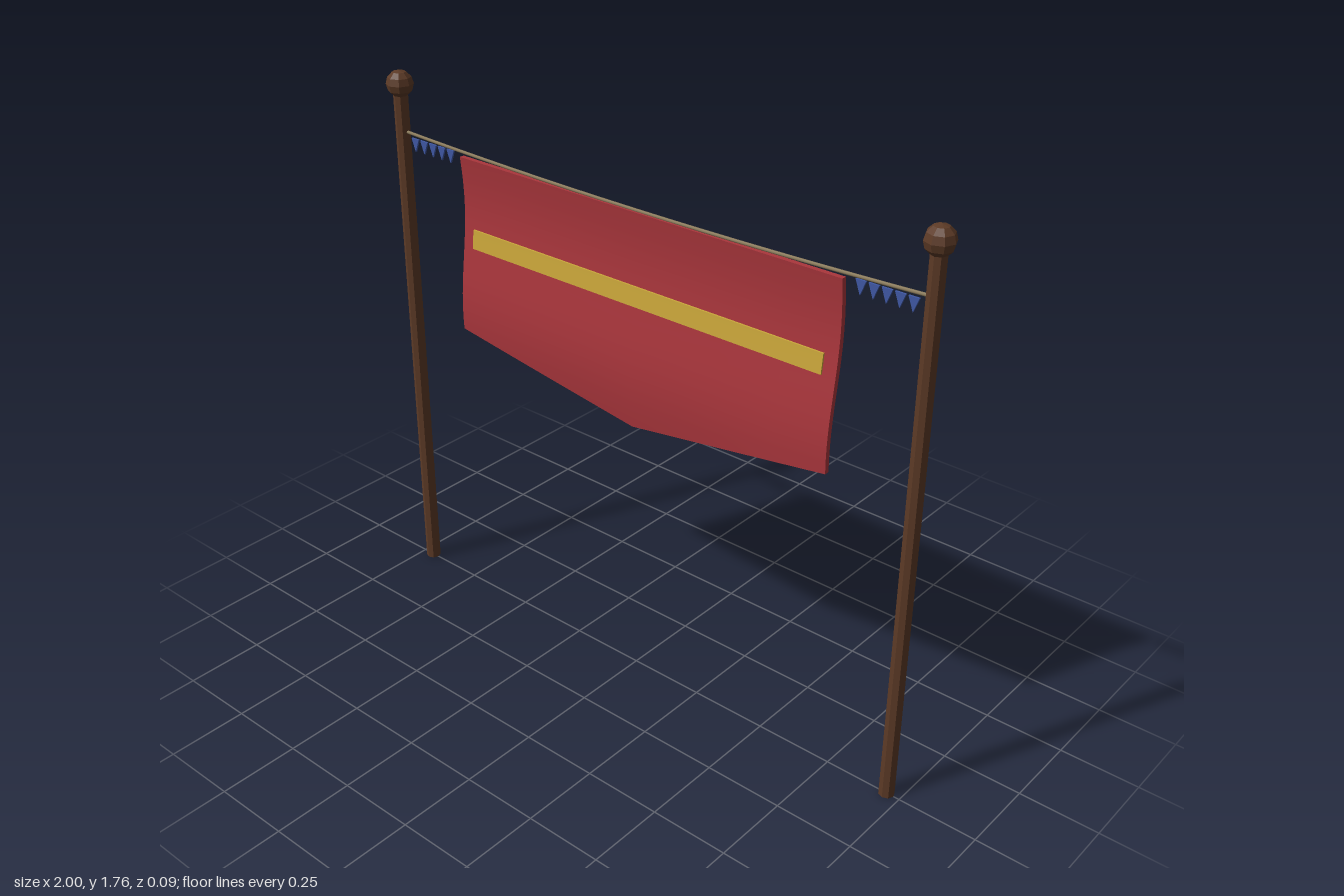
import * as THREE from 'three';

const material = (name, color, extra = {}) => {
  const m = new THREE.MeshStandardMaterial({ color, ...extra });
  m.name = name;
  return m;
};

// Billow of the cloth: depth as a function of height
const clothZ = (y) => 0.008 + 0.016 * Math.cos(((y - 1.04) * Math.PI) / 0.37);

// Slab that follows the billow; drop lowers the middle of its bottom edge to a point
function clothSlab(width, top, bottom, thickness, drop, rows) {
  const h = top - bottom;
  const geo = new THREE.BoxGeometry(width, h, thickness, 8, rows, 1);
  const p = geo.attributes.position;
  for (let i = 0; i < p.count; i++) {
    const v = 0.5 - p.getY(i) / h;
    const point = drop * (1 - Math.abs(p.getX(i)) / (width / 2));
    const y = top - v * (h + point);
    p.setY(i, y);
    p.setZ(i, p.getZ(i) + clothZ(y));
  }
  geo.computeVertexNormals();
  return geo;
}

export function createModel() {
  const model = new THREE.Group();
  model.name = 'hangingBanner';

  const wood = material('dark wood', 0x5c3a26, { flatShading: true });
  const red = material('red cloth', 0xaa363c);
  const gold = material('gold stripe', 0xcaa63a);
  const blue = material('blue pennant', 0x3f58a4);
  const twine = material('rope', 0x8c7c5c);

  const add = (name, geo, mat, x = 0, y = 0, z = 0) => {
    const mesh = new THREE.Mesh(geo, mat);
    mesh.name = name;
    mesh.position.set(x, y, z);
    model.add(mesh);
    return mesh;
  };

  // Poles with ball finials
  const poleGeo = new THREE.CylinderGeometry(0.023, 0.024, 1.72, 8);
  const ballGeo = new THREE.SphereGeometry(0.043, 8, 6);

  // Small triangular pennant, thin in depth
  const triangle = new THREE.Shape([
    new THREE.Vector2(-0.016, 0),
    new THREE.Vector2(0, -0.042),
    new THREE.Vector2(0.016, 0),
  ]);
  const pennantGeo = new THREE.ExtrudeGeometry(triangle, { depth: 0.006, bevelEnabled: false });
  pennantGeo.translate(0, 0, -0.003);

  for (const [side, s] of [['left', 1], ['right', -1]]) {
    add(side + 'Pole', poleGeo, wood, s * 0.957, 0.86);
    add(side + 'Finial', ballGeo, wood, s * 0.957, 1.722);
    for (let i = 0; i < 5; i++) {
      add(side + 'Pennant' + (i + 1), pennantGeo, blue, s * (0.745 + i * 0.039), 1.558);
    }
  }

  // Sagging rope between the poles
  const sag = new THREE.QuadraticBezierCurve3(
    new THREE.Vector3(-0.957, 1.573, 0),
    new THREE.Vector3(0, 1.533, 0),
    new THREE.Vector3(0.957, 1.573, 0)
  );
  add('rope', new THREE.TubeGeometry(sag, 16, 0.005, 6), twine);

  // Banner cloth with pointed lower edge, and the stripe wrapped around both faces
  add('bannerCloth', clothSlab(1.39, 1.55, 0.985, 0.016, 0.11, 14), red);
  add('bannerStripe', clothSlab(1.304, 1.325, 1.265, 0.028, 0, 2), gold);

  return model;
}
